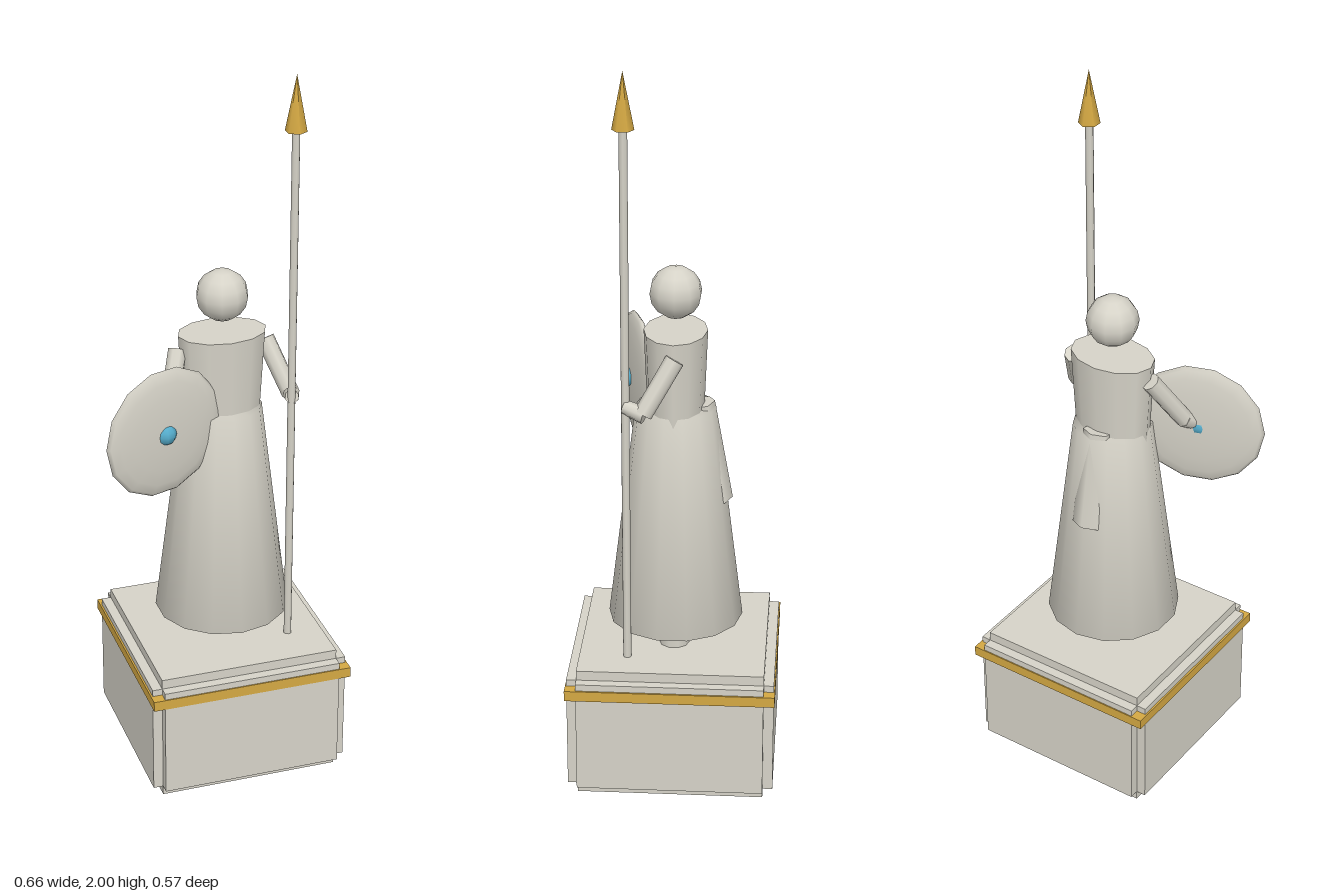
import * as THREE from 'three';

export function createModel() {
  const model = new THREE.Group();
  model.name = 'statue';
  const mat = (name, color) => {
    const m = new THREE.MeshStandardMaterial({ color });
    m.name = name;
    return m;
  };
  const marble = mat('marble', 0xd6d3c8);
  const gold = mat('gold', 0xd4a843);
  const blue = mat('blue', 0x55accb);
  const CX = 0.0425; // axis of plinth and figure

  const add = (name, geometry, material, x = 0, y = 0, z = 0, parent = model) => {
    const mesh = new THREE.Mesh(geometry, material);
    mesh.name = name;
    mesh.position.set(x, y, z);
    parent.add(mesh);
    return mesh;
  };

  // Tapered rod between two points
  const rod = (name, top, bottom, rTop, rBottom, sides, material = marble) => {
    const a = new THREE.Vector3(...top), b = new THREE.Vector3(...bottom);
    const dir = a.clone().sub(b);
    const mesh = add(name, new THREE.CylinderGeometry(rTop, rBottom, dir.length(), sides), material);
    mesh.position.copy(a).add(b).multiplyScalar(0.5);
    mesh.quaternion.setFromUnitVectors(new THREE.Vector3(0, 1, 0), dir.normalize());
    return mesh;
  };

  // Plinth: three crossing boxes leave a stepped notch along every edge
  const W = 0.556, H = 0.372, D = 0.56, step = 0.054;
  [[0, 1, 1], [1, 0, 1], [1, 1, 0]].forEach(([i, j, k]) =>
    add('plinth', new THREE.BoxGeometry(W - i * step, H - j * step, D - k * step), marble, CX, H / 2, 0));
  add('plinthBand', new THREE.BoxGeometry(0.566, 0.029, 0.566), gold, CX, 0.312, 0);

  // Legs
  for (const side of [-1, 1]) {
    add('leg', new THREE.CylinderGeometry(0.041, 0.041, 0.16, 10), marble, CX + side * 0.06, 0.44, 0);
  }

  // Skirt, softly rounded at hem and waist
  const skirtProfile = [[0, 0.435], [0.184, 0.435], [0.108, 1.05], [0, 1.05]]
    .map(([r, y]) => new THREE.Vector2(r, y));
  add('skirt', new THREE.LatheGeometry(skirtProfile, 14), marble, CX, 0, 0);

  // Torso, oval in plan
  const torso = add('torso', new THREE.CylinderGeometry(0.122, 0.108, 0.245, 12), marble, CX, 1.1425, 0);
  torso.geometry.rotateY(Math.PI / 12 * 2);
  torso.scale.z = 0.7;

  // Head
  add('head', new THREE.SphereGeometry(0.071, 10, 8), marble, CX, 1.37, 0);

  // Hanging fold on the back
  const fold = rod('backFold', [CX, 1.06, -0.07], [CX, 0.78, -0.115], 0.035, 0.04, 6);
  fold.scale.x = 1.2;

  // Spear arm and shield arm
  rod('leftUpperArm', [0.165, 1.225, -0.005], [0.212, 1.09, 0.075], 0.026, 0.025, 8);
  rod('leftForearm', [0.197, 1.105, 0.125], [0.214, 1.088, 0.07], 0.019, 0.024, 8);
  rod('rightUpperArm', [-0.08, 1.225, -0.005], [-0.135, 1.08, 0.08], 0.026, 0.025, 8);
  rod('rightForearm', [-0.15, 1.06, 0.11], [-0.135, 1.085, 0.075], 0.02, 0.024, 8);

  // Spear
  const sx = 0.197, sz = 0.122;
  rod('spearShaft', [sx, 1.86, sz], [sx, 0.37, sz], 0.011, 0.011, 8);
  add('spearTip', new THREE.ConeGeometry(0.029, 0.15, 6), gold, sx, 1.925, sz);

  // Shield: flattened ball turned toward the body, with a boss through its centre
  const shield = new THREE.Group();
  shield.name = 'shield';
  shield.position.set(-0.156, 1.052, 0.117);
  shield.rotation.y = 0.32;
  model.add(shield);
  const disc = add('shieldDisc', new THREE.SphereGeometry(0.183, 14, 10).rotateX(Math.PI / 2), marble, 0, 0, 0, shield);
  disc.scale.z = 0.14;
  const boss = add('shieldBoss', new THREE.SphereGeometry(0.032, 10, 8), blue, -0.004, 0, 0.006, shield);
  boss.scale.z = 1.13;

  return model;
}
